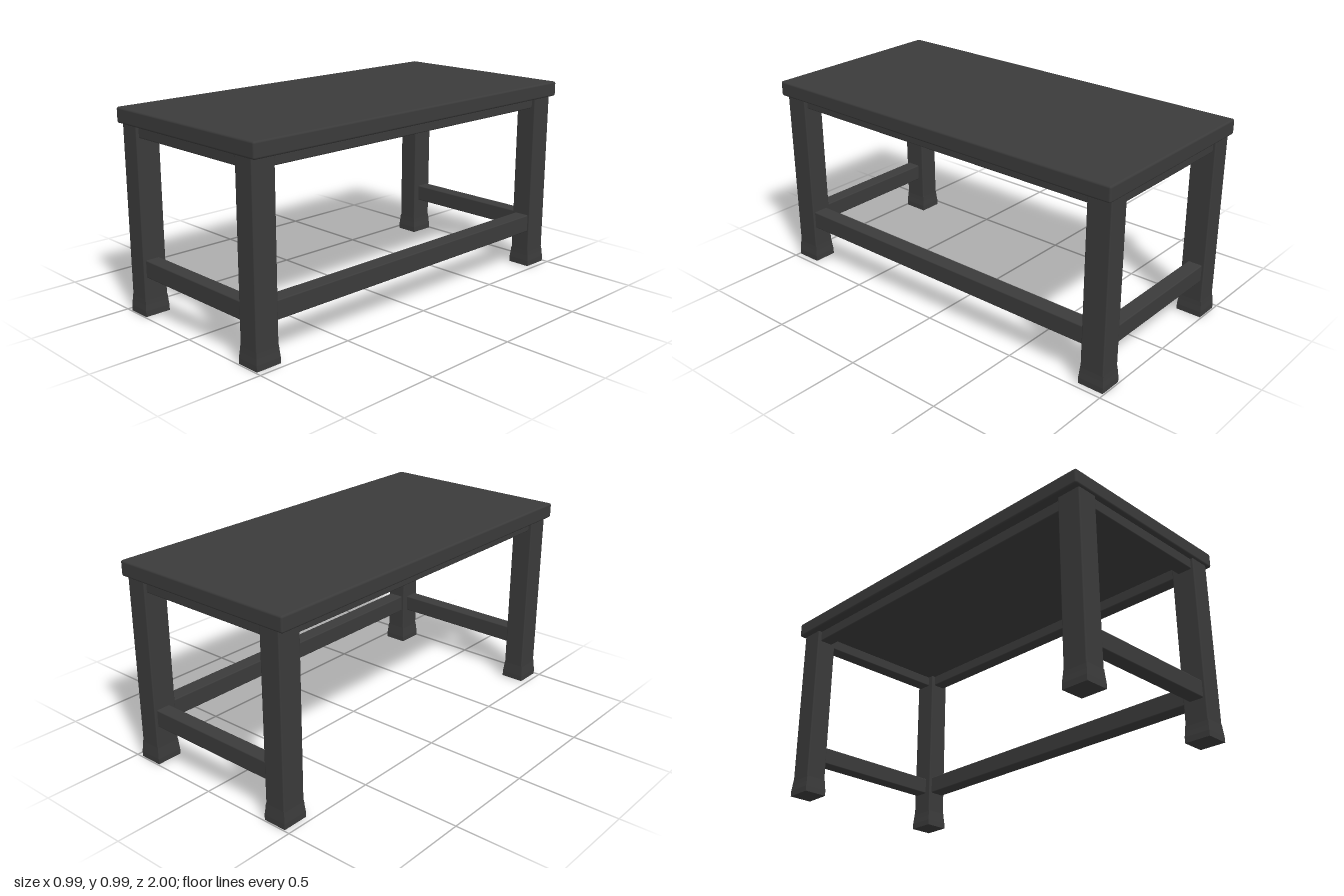
import * as THREE from 'three';
import { RoundedBoxGeometry } from 'three/addons/geometries/RoundedBoxGeometry.js';

const charcoal = new THREE.MeshStandardMaterial({ color: 0x3b3b3b });
charcoal.name = 'charcoal wood';

// Softly rounded beam given by its min and max corners
function beam(name, [x0, y0, z0], [x1, y1, z1], radius = 0.006) {
  const geo = new RoundedBoxGeometry(x1 - x0, y1 - y0, z1 - z0, 2, radius);
  const mesh = new THREE.Mesh(geo, charcoal);
  mesh.position.set((x0 + x1) / 2, (y0 + y1) / 2, (z0 + z1) / 2);
  mesh.name = name;
  return mesh;
}

// Square foot whose upper part tapers into the leg
function foot(width, depth) {
  const geo = new THREE.BoxGeometry(width, 0.085, depth, 1, 3, 1).toNonIndexed();
  const p = geo.attributes.position;
  for (let i = 0; i < p.count; i++) {
    const t = THREE.MathUtils.smoothstep(p.getY(i), -0.02, 0.0425);
    p.setX(i, p.getX(i) * (1 - 0.1 * t));
    p.setZ(i, p.getZ(i) * (1 - 0.07 * t));
  }
  geo.computeVertexNormals();
  const mesh = new THREE.Mesh(geo, charcoal);
  mesh.name = 'foot';
  return mesh;
}

export function createModel() {
  const table = new THREE.Group();
  table.name = 'table';

  table.add(beam('tableTop', [-0.495, 0.91, -1], [0.495, 0.985, 1], 0.01));

  for (const sz of [-1, 1]) {
    const end = sz > 0 ? 'front' : 'back';
    // Legs with flared feet
    for (const sx of [-1, 1]) {
      const leg = new THREE.Group();
      leg.name = end + (sx > 0 ? 'Left' : 'Right') + 'Leg';
      const post = beam('post', [-0.054, 0.02, -0.061], [0.054, 0.915, 0.061]);
      const base = foot(0.119, 0.131);
      base.position.y = 0.0425;
      leg.add(post, base);
      leg.position.set(sx * 0.41, 0, sz * 0.928);
      table.add(leg);
    }
    // End apron and low stretcher
    const [za, zb] = sz > 0 ? [0.9, 0.975] : [-0.975, -0.9];
    table.add(beam(end + 'Apron', [-0.38, 0.857, za], [0.38, 0.915, zb]));
    table.add(beam(end + 'Stretcher', [-0.38, 0.19, za], [0.38, 0.276, zb]));
  }

  // Long aprons on both sides
  for (const sx of [-1, 1]) {
    const [xa, xb] = sx > 0 ? [0.375, 0.445] : [-0.445, -0.375];
    table.add(beam(sx > 0 ? 'leftApron' : 'rightApron', [xa, 0.855, -0.89], [xb, 0.915, 0.89]));
  }

  // Single long stretcher on the left side
  table.add(beam('leftStretcher', [0.372, 0.19, -0.89], [0.453, 0.28, 0.89]));

  return table;
}
